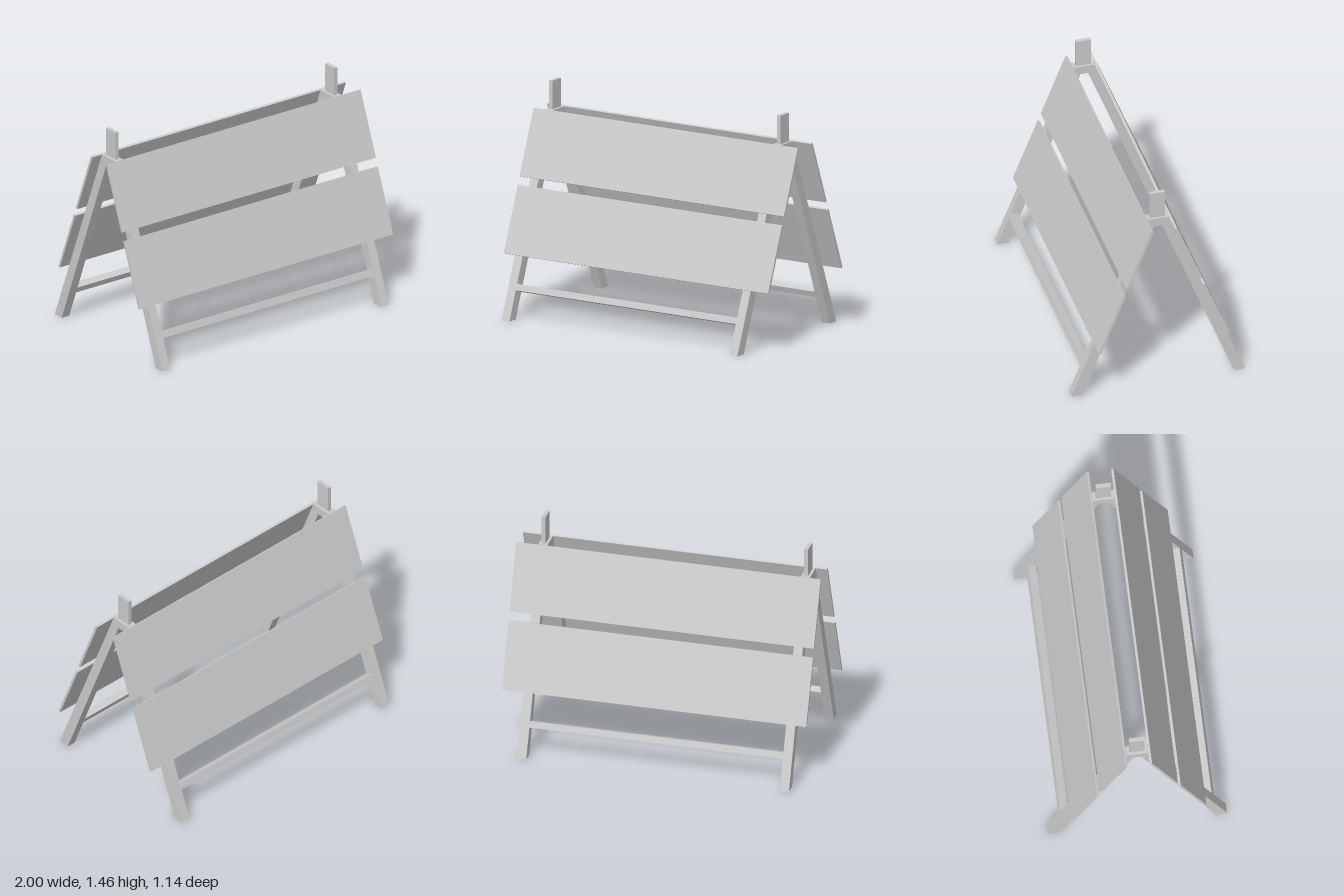
import * as THREE from 'three';

const FOOT = 0.572, APEX_Z = 0.07, APEX_Y = 1.275;
const SLOPE = (FOOT - APEX_Z) / APEX_Y;
const TILT = Math.atan(SLOPE);
const FRAME_X = [-0.895, 0.83];
const TUBE = 0.06;

const material = new THREE.MeshStandardMaterial({ color: 0xcccccc });
const tubeMaterial = new THREE.MeshStandardMaterial({ color: 0xcccccc, side: THREE.DoubleSide, flatShading: true });

function box(name, w, h, d, x, y, z) {
  const mesh = new THREE.Mesh(new THREE.BoxGeometry(w, h, d), material);
  mesh.name = name;
  mesh.position.set(x, y, z);
  return mesh;
}

// A-shaped square tube, open at the feet: outer and inner [z, y] at each section
function frameGeometry() {
  const sections = [
    [[FOOT, 0], [0.498, 0]],
    [[APEX_Z, APEX_Y], [0.025, 1.218]],
    [[-APEX_Z, APEX_Y], [-0.025, 1.218]],
    [[-FOOT, 0], [-0.498, 0]],
  ];
  const positions = [], index = [];
  for (const [o, i] of sections) {
    for (const [x, p] of [[-1, o], [1, o], [1, i], [-1, i]]) positions.push(x * TUBE / 2, p[1], p[0]);
  }
  for (let s = 0; s < sections.length - 1; s++) {
    for (let c = 0; c < 4; c++) {
      const a = s * 4 + c, b = s * 4 + (c + 1) % 4;
      index.push(a, b, b + 4, a, b + 4, a + 4);
    }
  }
  const indexed = new THREE.BufferGeometry();
  indexed.setAttribute('position', new THREE.Float32BufferAttribute(positions, 3));
  indexed.setIndex(index);
  const geometry = indexed.toNonIndexed();
  geometry.computeVertexNormals();
  return geometry;
}

// Box lying along the leg slope; y is measured on the leg's outer face, offset along its normal
function slopedBox(name, side, w, h, d, x, y, offset) {
  const z = FOOT - SLOPE * y + offset * Math.cos(TILT);
  const mesh = box(name, w, h, d, x, y + offset * Math.sin(TILT), side * z);
  mesh.rotation.x = -side * TILT;
  return mesh;
}

export function createModel() {
  const group = new THREE.Group();
  group.name = 'barricade';

  // End frames with upright tabs on top
  const geometry = frameGeometry();
  for (const x of FRAME_X) {
    const frame = new THREE.Mesh(geometry, tubeMaterial);
    frame.name = 'endFrame';
    frame.position.x = x;
    group.add(frame, box('topTab', 0.026, 0.187, 0.098, x, 1.3675, 0));
  }

  // Boards and lower rail on the front and back slopes
  const railLength = FRAME_X[1] - FRAME_X[0] - TUBE;
  const railX = (FRAME_X[0] + FRAME_X[1]) / 2;
  for (const side of [1, -1]) {
    const face = side > 0 ? 'front' : 'back';
    group.add(
      slopedBox(face + 'UpperBoard', side, 2, 0.444, 0.016, 0, 1.067, 0.008),
      slopedBox(face + 'LowerBoard', side, 2, 0.444, 0.016, 0, 0.601, 0.008),
      slopedBox(face + 'Rail', side, railLength, 0.042, 0.05, railX, 0.209, -0.025),
    );
  }
  return group;
}
